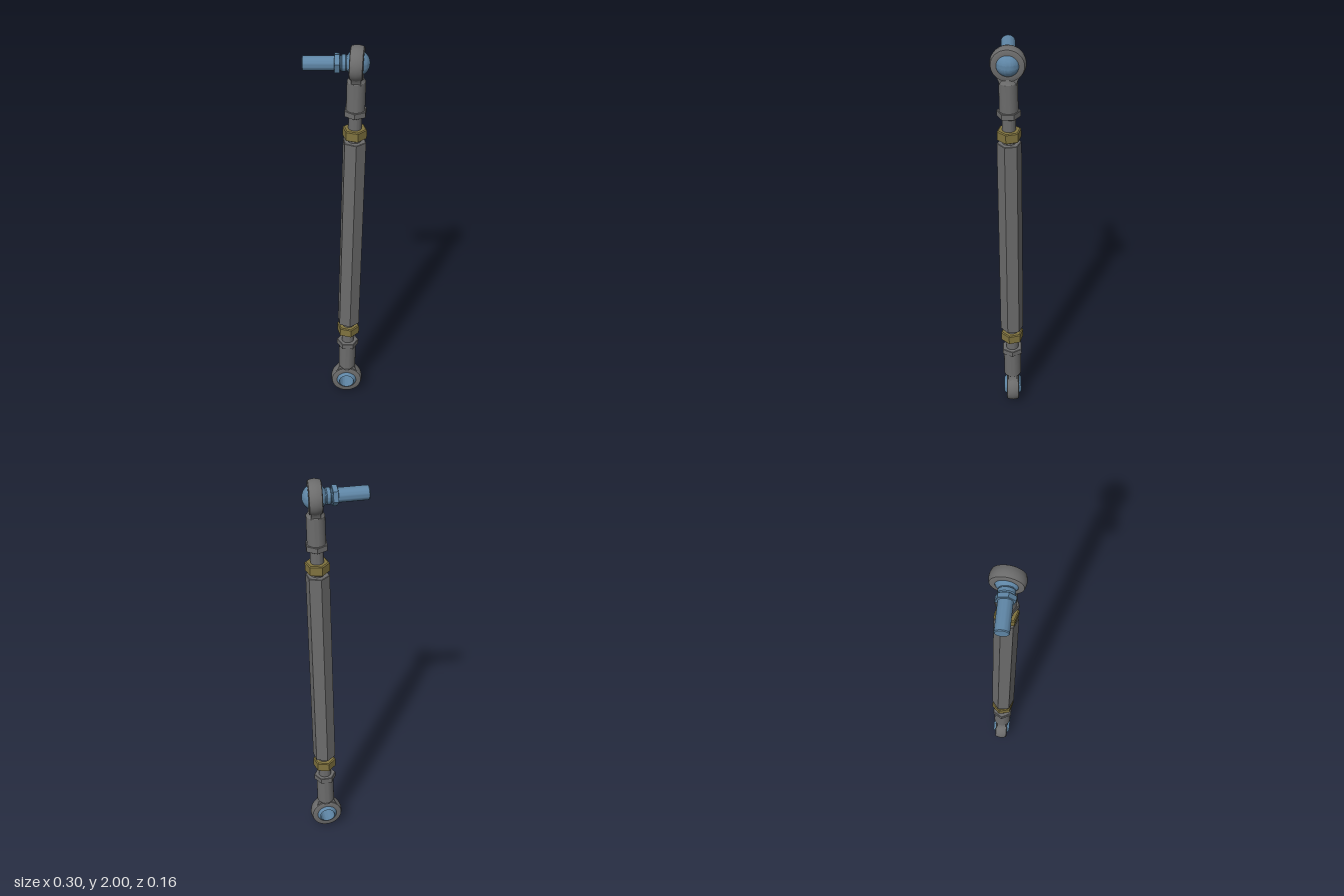
import * as THREE from 'three';
import { toCreasedNormals } from 'three/addons/utils/BufferGeometryUtils.js';

const paint = (name, color) => {
  const m = new THREE.MeshStandardMaterial({ color });
  m.name = name;
  return m;
};

export function createModel() {
  const steel = paint('dark steel', 0x6c6c6c);
  const blue = paint('blue steel', 0x5f86a6);
  const brass = paint('brass', 0x80733f);

  const add = (parent, name, geometry, material) => {
    const mesh = new THREE.Mesh(toCreasedNormals(geometry, 0.6), material);
    mesh.name = name;
    parent.add(mesh);
    return mesh;
  };
  // profile of [radius, height] pairs turned about y
  const turned = (points, sides = 40) =>
    new THREE.LatheGeometry(points.map(([r, y]) => new THREE.Vector2(r, y)), sides);
  // six-sided bar with slightly bevelled ends
  const hexBar = (r, y0, y1, bevel, angle) =>
    turned([[0, y0], [r - bevel, y0], [r, y0 + bevel * 0.7], [r, y1 - bevel * 0.7], [r - bevel, y1], [0, y1]], 6)
      .rotateY(angle);
  // arc of the ball from polar angle a to b (0 = +y end)
  const arc = (r, a, b, n = 16) => Array.from({ length: n + 1 }, (_, i) => {
    const t = a + (b - a) * i / n;
    return [Math.abs(r * Math.sin(t)), r * Math.cos(t)];
  });

  // rod end: eye about local z at the origin, shank along +y
  const rodEnd = (name) => {
    const end = new THREE.Group();
    end.name = name;
    const eye = turned([
      [0.05, -0.031], [0.07, -0.031], [0.075, -0.028], [0.079, -0.015], [0.081, 0], [0.079, 0.015],
      [0.075, 0.028], [0.07, 0.031], [0.05, 0.031], [0.055, 0], [0.05, -0.031],
    ], 48).rotateX(Math.PI / 2);
    add(end, 'eye', eye, steel);

    // flared web between eye and shank
    const web = new THREE.Shape();
    web.moveTo(-0.057, 0.052);
    web.lineTo(0.057, 0.052);
    web.quadraticCurveTo(0.044, 0.064, 0.037, 0.095);
    web.lineTo(-0.037, 0.095);
    web.quadraticCurveTo(-0.044, 0.064, -0.057, 0.052);
    const webGeometry = new THREE.ExtrudeGeometry(web, { depth: 0.044, bevelEnabled: false, curveSegments: 6 });
    add(end, 'web', webGeometry.translate(0, 0, -0.022), steel);

    add(end, 'shank', turned([[0, 0.06], [0.03, 0.06], [0.034, 0.075], [0.043, 0.088], [0.043, 0.235], [0, 0.235]]), steel);
    add(end, 'wrenchCollar', hexBar(0.055, 0.227, 0.257, 0.003, Math.PI / 6), steel);
    add(end, 'threadedStem', turned([[0, 0.25], [0.031, 0.25], [0.031, 0.4], [0, 0.4]]), steel);
    return end;
  };

  const model = new THREE.Group();
  model.name = 'linkage';
  const low = new THREE.Vector3(0.055, 0.082, -0.026);
  const high = new THREE.Vector3(0.092, 1.919, 0);
  const axis = high.clone().sub(low);
  const length = axis.length();

  // slightly leaning rod assembly
  const link = new THREE.Group();
  link.name = 'rodAssembly';
  link.position.copy(low);
  link.quaternion.setFromUnitVectors(new THREE.Vector3(0, 1, 0), axis.normalize());
  model.add(link);

  add(link, 'hexRod', hexBar(0.057, 0.38, 1.447, 0.003, 0.14), steel);
  add(link, 'lowerLockNut', hexBar(0.057, 0.309, 0.359, 0.006, 0.26), brass);
  add(link, 'upperLockNut', hexBar(0.057, 1.463, 1.513, 0.006, 0.26), brass);

  const lowerEnd = rodEnd('lowerRodEnd');
  const upperEnd = rodEnd('upperRodEnd');
  upperEnd.position.y = length;
  upperEnd.rotation.set(Math.PI, THREE.MathUtils.degToRad(85), 0, 'YXZ');
  link.add(lowerEnd, upperEnd);

  // bored ball in the lower eye
  const boreAngle = Math.asin(0.037 / 0.057);
  const bored = arc(0.057, Math.PI - boreAngle, boreAngle);
  bored.push(bored[0]);
  add(lowerEnd, 'boredBall', turned(bored).rotateX(Math.PI / 2), blue);

  // ball stud in the upper eye, pointing to -x
  const stud = new THREE.Group();
  stud.name = 'ballStud';
  stud.position.copy(high);
  stud.rotation.z = Math.PI / 2;
  model.add(stud);
  add(stud, 'ballAndPin', turned([
    ...arc(0.058, Math.PI, 0.92), [0.035, 0.043], [0.034, 0.046], [0.038, 0.05], [0.038, 0.066],
    [0.033, 0.07], [0.033, 0.238], [0.03, 0.242], [0, 0.242],
  ]), blue);
  add(stud, 'studHex', hexBar(0.047, 0.075, 0.1, 0.002, 0.26), blue);

  return model;
}
